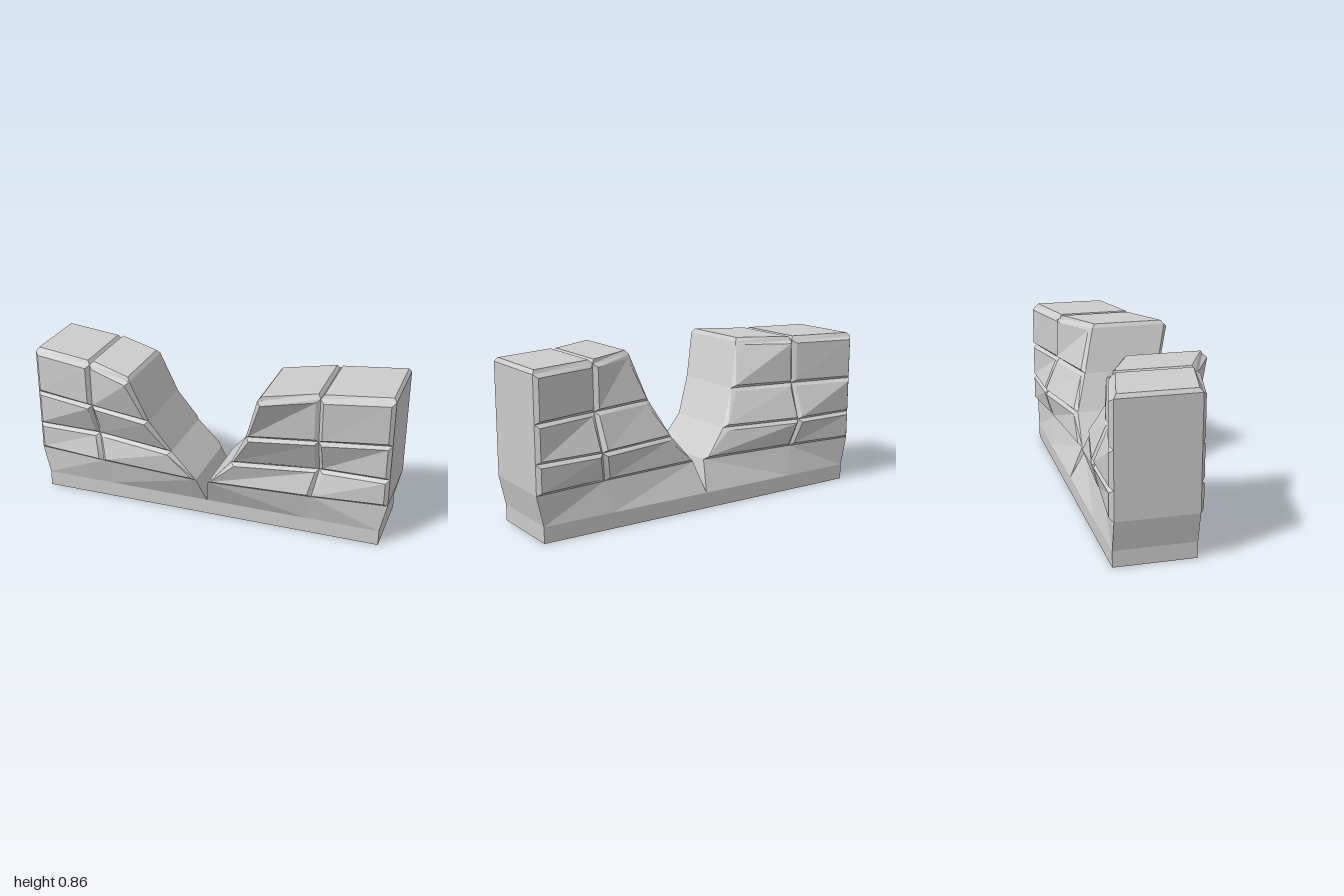
import * as THREE from 'three';

const DEPTH = 0.42;      // wall thickness
const BEVEL = 0.02;      // how far each stone stands proud of its joints
const material = new THREE.MeshStandardMaterial({ color: 0xcccccc, flatShading: true });

// Joint grid of one wing: for each course, height and [x, front z] at outer end, seam and broken edge
const levels = [
  { y: 0.245, nodes: [[1, 0.10], [0.60, 0.14], [0.035, 0.178]] },
  { y: 0.40, nodes: [[1, 0.10], [0.63, 0.105], [0.17, 0.185]] },
  { y: 0.595, nodes: [[1, 0.10], [0.635, 0.175], [0.27, 0.25]] },
  { y: 0.835, nodes: [[1, 0.10], [0.635, 0.18], [0.345, 0.312]] },
];
const footX = [0.965, 0.57, 0];
const footY = 0.085;
const footZ = 0.10;

// Grid point on wing s (+1 / -1), on the front (f = 1) or back (f = -1) of the wall
function node(s, row, col, f) {
  const [x, z] = levels[row].nodes[col];
  return new THREE.Vector3(s * x, levels[row].y, f > 0 ? z : z - DEPTH);
}

function foot(s, col, f, y = footY) {
  return new THREE.Vector3(s * footX[col], y, f > 0 ? footZ : footZ - DEPTH);
}

// Two triangles sharing the diagonal a-c; flip reverses the facing only
function quad(out, [a, b, c, d], flip = false) {
  const tris = flip ? [a, c, b, a, d, c] : [a, b, c, a, c, d];
  for (const p of tris) out.push(p.x, p.y, p.z);
}

// Raised panel with bevelled borders
function panel(out, corners, inset, push) {
  const mid = new THREE.Vector3();
  corners.forEach((p) => mid.addScaledVector(p, 0.25));
  const raised = corners.map((p) => new THREE.Vector3(
    p.x + Math.sign(mid.x - p.x) * inset.x,
    p.y + Math.sign(mid.y - p.y) * inset.y,
    p.z + Math.sign(mid.z - p.z) * inset.z,
  ).add(push));
  quad(out, raised);
  for (let i = 0; i < 4; i++) {
    const j = (i + 1) % 4;
    quad(out, [corners[i], corners[j], raised[j], raised[i]]);
  }
}

function makeMesh(positions, name) {
  const geometry = new THREE.BufferGeometry();
  geometry.setAttribute('position', new THREE.Float32BufferAttribute(positions, 3));
  geometry.computeVertexNormals();
  const mesh = new THREE.Mesh(geometry, material);
  mesh.name = name;
  return mesh;
}

// One stone of a wing: raised faces front and back, plain ends, raised cap on the top course
function makeStone(s, row, col) {
  const out = [];
  for (const f of [1, -1]) {
    const [l, r] = s * f > 0 ? [col + 1, col] : [col, col + 1];
    panel(out,
      [node(s, row, l, f), node(s, row, r, f), node(s, row + 1, r, f), node(s, row + 1, l, f)],
      new THREE.Vector3(BEVEL, 0.016, 0), new THREE.Vector3(0, 0, f * BEVEL));
  }
  const endCol = col === 0 ? 0 : 2;
  quad(out,
    [node(s, row, endCol, 1), node(s, row, endCol, -1), node(s, row + 1, endCol, -1), node(s, row + 1, endCol, 1)],
    (s < 0) !== (col === 1));
  if (row === 2) {
    const [l, r] = s > 0 ? [col + 1, col] : [col, col + 1];
    panel(out, [node(s, 3, l, 1), node(s, 3, r, 1), node(s, 3, r, -1), node(s, 3, l, -1)],
      new THREE.Vector3(0.015, 0, 0.015), new THREE.Vector3(0, BEVEL, 0));
  }
  return makeMesh(out, col === 0 ? 'outerStone' : 'brokenStone');
}

// Footing: straight plinth with a flared upper band, notched at the middle
function makeFooting() {
  const out = [];
  for (const s of [1, -1]) {
    for (const f of [1, -1]) {
      for (const col of [0, 1]) {
        quad(out, [foot(s, col + 1, f, 0), foot(s, col, f, 0), foot(s, col, f), foot(s, col + 1, f)], s * f < 0);
        quad(out, [foot(s, col, f), node(s, 0, col, f), node(s, 0, col + 1, f), foot(s, col + 1, f)], s * f < 0);
      }
    }
    // Outer end, notch side and underside
    quad(out, [foot(s, 0, 1, 0), foot(s, 0, -1, 0), foot(s, 0, -1), foot(s, 0, 1)], s < 0);
    quad(out, [foot(s, 0, 1), foot(s, 0, -1), node(s, 0, 0, -1), node(s, 0, 0, 1)], s < 0);
    quad(out, [foot(s, 2, 1), foot(s, 2, -1), node(s, 0, 2, -1), node(s, 0, 2, 1)], s > 0);
    quad(out, [foot(s, 2, 1, 0), foot(s, 0, 1, 0), foot(s, 0, -1, 0), foot(s, 2, -1, 0)], s > 0);
  }
  return makeMesh(out, 'footing');
}

export function createModel() {
  const model = new THREE.Group();
  model.name = 'brokenWall';
  model.add(makeFooting());
  for (const s of [1, -1]) {
    const wing = new THREE.Group();
    wing.name = s > 0 ? 'leftWing' : 'rightWing';
    for (let row = 0; row < 3; row++) {
      for (let col = 0; col < 2; col++) wing.add(makeStone(s, row, col));
    }
    model.add(wing);
  }
  return model;
}
